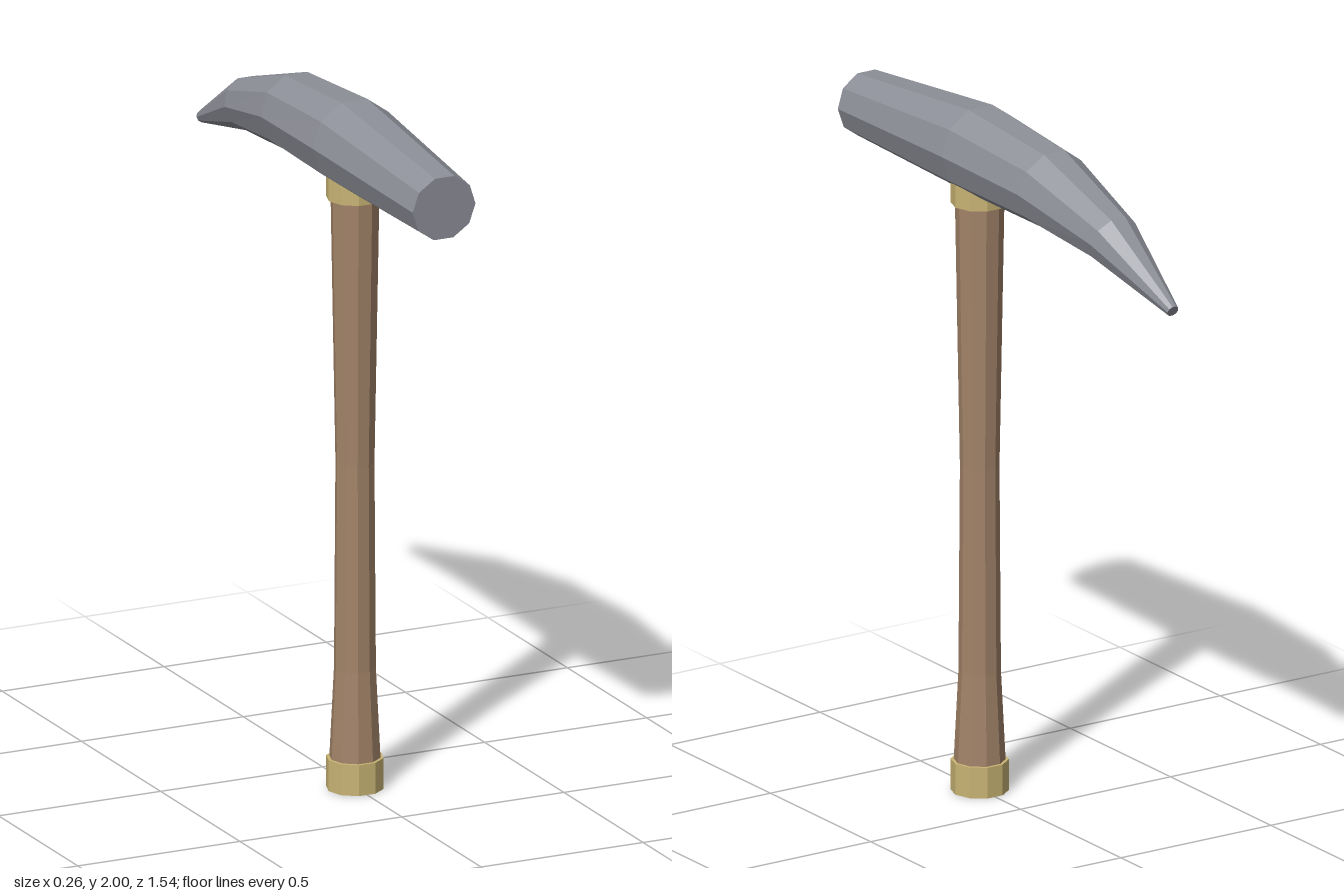
import * as THREE from 'three';

const SIDES = 10;
const HANDLE_Z = 0.204;

// Flat-shaded ten-sided loft through tilted sections, front to back.
// Section: [zTop, yTop, zBottom, yBottom, radius across x]
function loft(sections) {
  const rings = sections.map(([zt, yt, zb, yb, r]) => {
    const k = 1 / (2 * Math.sin(Math.PI * 0.4)); // flat top and bottom edges
    return Array.from({ length: SIDES }, (_, j) => {
      const a = (j / SIDES) * Math.PI * 2;
      const s = Math.sin(a) * k;
      return [r * Math.cos(a), (yt + yb) / 2 + (yt - yb) * s, (zt + zb) / 2 + (zt - zb) * s];
    });
  });
  const pos = [];
  const tri = (...pts) => pts.forEach((p) => pos.push(...p));
  for (let i = 0; i < rings.length - 1; i++) {
    for (let j = 0; j < SIDES; j++) {
      const n = (j + 1) % SIDES;
      const a = rings[i][j], b = rings[i][n], c = rings[i + 1][n], d = rings[i + 1][j];
      tri(a, d, c);
      tri(a, c, b);
    }
  }
  // End caps
  const first = rings[0], last = rings[rings.length - 1];
  for (let j = 1; j < SIDES - 1; j++) {
    tri(first[0], first[j], first[j + 1]);
    tri(last[0], last[j + 1], last[j]);
  }
  const g = new THREE.BufferGeometry();
  g.setAttribute('position', new THREE.Float32BufferAttribute(pos, 3));
  g.computeVertexNormals();
  return g;
}

export function createModel() {
  const material = (name, color) => {
    const m = new THREE.MeshStandardMaterial({ color, flatShading: true });
    m.name = name;
    return m;
  };
  const steel = material('steel', 0x8e9099);
  const wood = material('wood', 0xa38469);
  const brass = material('brass', 0xc8b474);

  const group = new THREE.Group();
  group.name = 'pickHammer';
  const add = (name, geometry, mat, y = 0, z = 0) => {
    const mesh = new THREE.Mesh(geometry, mat);
    mesh.name = name;
    mesh.position.set(0, y, z);
    group.add(mesh);
  };

  // Head: blunt striking face at the front, drooping point at the back
  add('head', loft([
    [0.77, 1.943, 0.763, 1.762, 0.097],
    [0.2, 2.0, 0.2, 1.757, 0.129],
    [-0.168, 1.972, -0.15, 1.757, 0.113],
    [-0.488, 1.868, -0.436, 1.732, 0.077],
    [-0.766, 1.69, -0.752, 1.66, 0.018],
  ]), steel);

  // Handle: waisted shaft flaring at both ends
  const profile = [[0.073, 0.05], [0.072, 0.09], [0.059, 0.35], [0.055, 0.95], [0.069, 1.74]]
    .map(([r, y]) => new THREE.Vector2(r, y));
  add('handle', new THREE.LatheGeometry(profile, SIDES, Math.PI / 2), wood, 0, HANDLE_Z);

  // Metal fittings at the butt and under the head
  const ring = (h) => new THREE.CylinderGeometry(0.081, 0.081, h, SIDES, 1, false, Math.PI / 2);
  add('buttCap', ring(0.09), brass, 0.045, HANDLE_Z);
  add('collar', ring(0.09), brass, 1.765, HANDLE_Z);

  return group;
}
